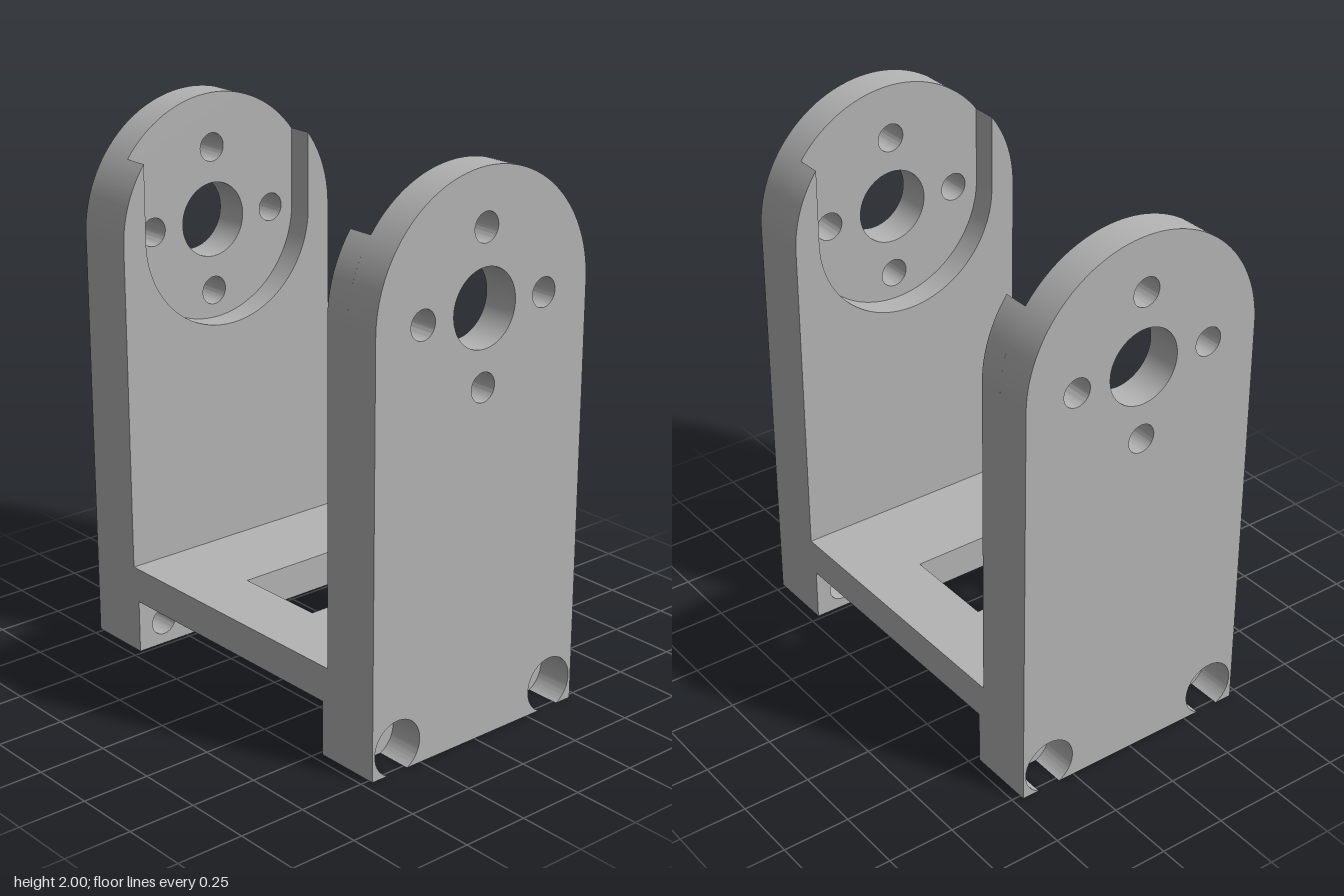
import * as THREE from 'three';
import { toCreasedNormals } from 'three/addons/utils/BufferGeometryUtils.js';

const HALF_W = 0.465, AXIS_Y = 1.535, POCKET_R = 0.37;
const OUTER_Z = 0.767, POCKET_Z = 0.635, INNER_Z = 0.54, FOOT_Z = 0.515;
const FLOOR_LOW = 0.2, FLOOR_HIGH = 0.33;
const BOLT_X = 0.355, BOLT_Y = 0.09, BOLT_R = 0.052, BORE_R = 0.1;

function addHole(shape, x, y, r) {
  shape.holes.push(new THREE.Path().absarc(x, y, r, 0, Math.PI * 2, true));
}

function extrude(shape, depth) {
  const geometry = new THREE.ExtrudeGeometry(shape, { depth, bevelEnabled: false, curveSegments: 40 });
  return toCreasedNormals(geometry, 0.5);
}

// Outer layer: round top, shaft and screw holes, counterbores cut through the bottom edge
function outerPlateShape() {
  const s = new THREE.Shape();
  const t = Math.acos(BOLT_Y / BORE_R);
  s.moveTo(-HALF_W, 0);
  for (const x of [-BOLT_X, BOLT_X]) {
    s.absarc(x, BOLT_Y, BORE_R, -Math.PI / 2 - t, -Math.PI / 2 + t, true);
  }
  s.lineTo(HALF_W, 0);
  s.absarc(0, AXIS_Y, HALF_W, 0, Math.PI, false);
  s.lineTo(-HALF_W, 0);
  addHole(s, 0, AXIS_Y, 0.137);
  for (const [dx, dy] of [[1, 0], [-1, 0], [0, 1], [0, -1]]) {
    addHole(s, dx * 0.267, AXIS_Y + dy * 0.267, BOLT_R);
  }
  return s;
}

// Inner layer: U-shaped pocket open at the top
function innerPlateShape() {
  const s = new THREE.Shape();
  const a = Math.acos(POCKET_R / HALF_W);
  s.moveTo(-HALF_W, 0);
  s.lineTo(HALF_W, 0);
  s.absarc(0, AXIS_Y, HALF_W, 0, a, false);
  s.absarc(0, AXIS_Y, POCKET_R, 0, -Math.PI, true);
  s.absarc(0, AXIS_Y, HALF_W, Math.PI - a, Math.PI, false);
  s.lineTo(-HALF_W, 0);
  for (const x of [-BOLT_X, BOLT_X]) addHole(s, x, BOLT_Y, BOLT_R);
  return s;
}

function rectShape(hw, y0, y1) {
  const s = new THREE.Shape();
  s.moveTo(-hw, y0);
  s.lineTo(hw, y0);
  s.lineTo(hw, y1);
  s.lineTo(-hw, y1);
  s.closePath();
  return s;
}

export function createModel() {
  const model = new THREE.Group();
  model.name = 'motorBracket';
  const grey = new THREE.MeshStandardMaterial({ color: 0xb4b4b4 });
  grey.name = 'grey';

  const add = (parent, name, geometry, z = 0) => {
    const mesh = new THREE.Mesh(geometry, grey);
    mesh.name = name;
    mesh.position.z = z;
    parent.add(mesh);
    return mesh;
  };

  // Two identical uprights facing away from each other
  const outer = extrude(outerPlateShape(), OUTER_Z - POCKET_Z);
  const inner = extrude(innerPlateShape(), POCKET_Z - INNER_Z);
  const footShape = rectShape(HALF_W, 0, FLOOR_LOW);
  for (const x of [-BOLT_X, BOLT_X]) addHole(footShape, x, BOLT_Y, BOLT_R);
  const foot = extrude(footShape, INNER_Z - FOOT_Z);

  for (const [name, turn] of [['frontUpright', 0], ['backUpright', Math.PI]]) {
    const upright = new THREE.Group();
    upright.name = name;
    upright.rotation.y = turn;
    add(upright, 'outerPlate', outer, POCKET_Z);
    add(upright, 'pocketPlate', inner, INNER_Z);
    add(upright, 'foot', foot, FOOT_Z);
    model.add(upright);
  }

  // Floor with a rectangular window
  const floorShape = rectShape(HALF_W, -INNER_Z, INNER_Z);
  floorShape.holes.push(rectShape(0.225, -0.18, 0.18));
  const floor = extrude(floorShape, FLOOR_HIGH - FLOOR_LOW);
  floor.rotateX(-Math.PI / 2);
  add(model, 'floor', floor).position.y = FLOOR_LOW;

  return model;
}
